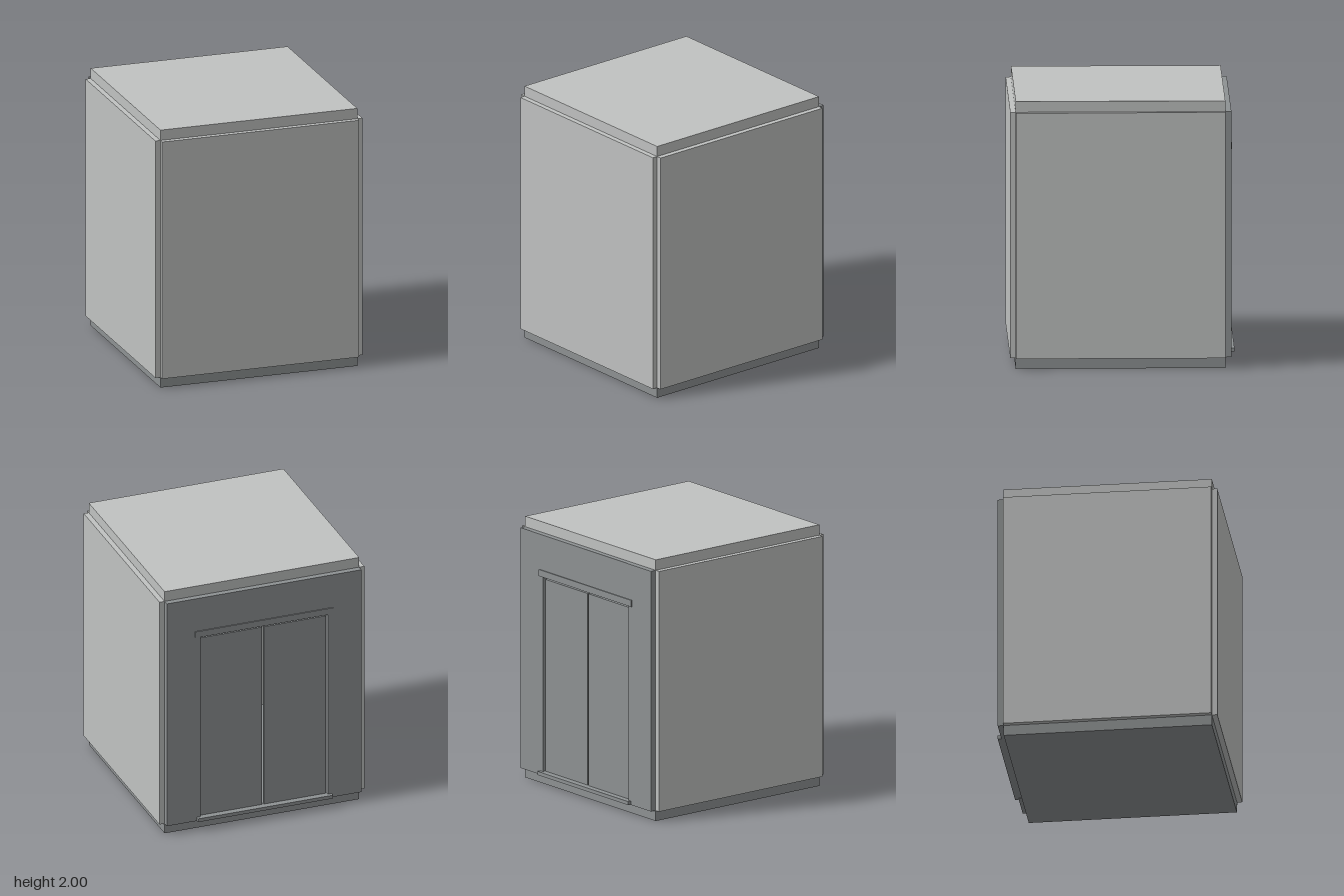
import * as THREE from 'three';

const lightSteel = new THREE.MeshStandardMaterial({ name: 'light steel', color: 0xc0c2c1 });
const darkSteel = new THREE.MeshStandardMaterial({ name: 'dark steel', color: 0x8e9293 });

// Box given by its limits on each axis
function box(name, material, [x0, x1], [y0, y1], [z0, z1]) {
  const mesh = new THREE.Mesh(new THREE.BoxGeometry(x1 - x0, y1 - y0, z1 - z0), material);
  mesh.name = name;
  mesh.position.set((x0 + x1) / 2, (y0 + y1) / 2, (z0 + z1) / 2);
  return mesh;
}

export function createModel() {
  const cabin = new THREE.Group();
  cabin.name = 'liftCabin';

  const W = 0.77, T = 0.04;          // half width inside the walls, wall thickness
  const depth = [-0.757, 0.79];      // floor and roof depth
  const wallY = [0.08, 1.92];
  const doorHalf = 0.505, doorTop = 1.6;

  // Floor, roof and plain walls
  cabin.add(box('floor', darkSteel, [-W, W], [0, 0.08], depth));
  cabin.add(box('roof', lightSteel, [-W, W], [1.92, 2], depth));
  cabin.add(box('frontWall', lightSteel, [-W, W], wallY, [0.79, 0.83]));
  cabin.add(box('rightWall', lightSteel, [-W - T, -W], wallY, depth));
  cabin.add(box('leftWall', lightSteel, [W, W + T], wallY, depth));

  // Back wall with the doorway cut out
  const outline = new THREE.Shape([
    [-W, 0.08], [-doorHalf, 0.08], [-doorHalf, doorTop], [doorHalf, doorTop],
    [doorHalf, 0.08], [W, 0.08], [W, 1.92], [-W, 1.92],
  ].map(([x, y]) => new THREE.Vector2(x, y)));
  const doorWall = new THREE.Mesh(
    new THREE.ExtrudeGeometry(outline, { depth: 0.045, bevelEnabled: false }), darkSteel);
  doorWall.name = 'doorWall';
  doorWall.position.z = -0.802;
  cabin.add(doorWall);

  // Two sliding door panels with a narrow gap between them
  for (const [name, side] of [['leftDoor', 1], ['rightDoor', -1]]) {
    const xs = [side * 0.007, side * 0.5].sort((a, b) => a - b);
    cabin.add(box(name, darkSteel, xs, [0.1, 1.578], [-0.78, -0.757]));
  }

  // Header strip above and sill below the doorway
  cabin.add(box('doorHeader', darkSteel, [-0.545, 0.545], [1.6, 1.65], [-0.81, -0.8]));
  cabin.add(box('doorSill', darkSteel, [-0.535, 0.535], [0.083, 0.11], [-0.83, -0.757]));

  return cabin;
}
